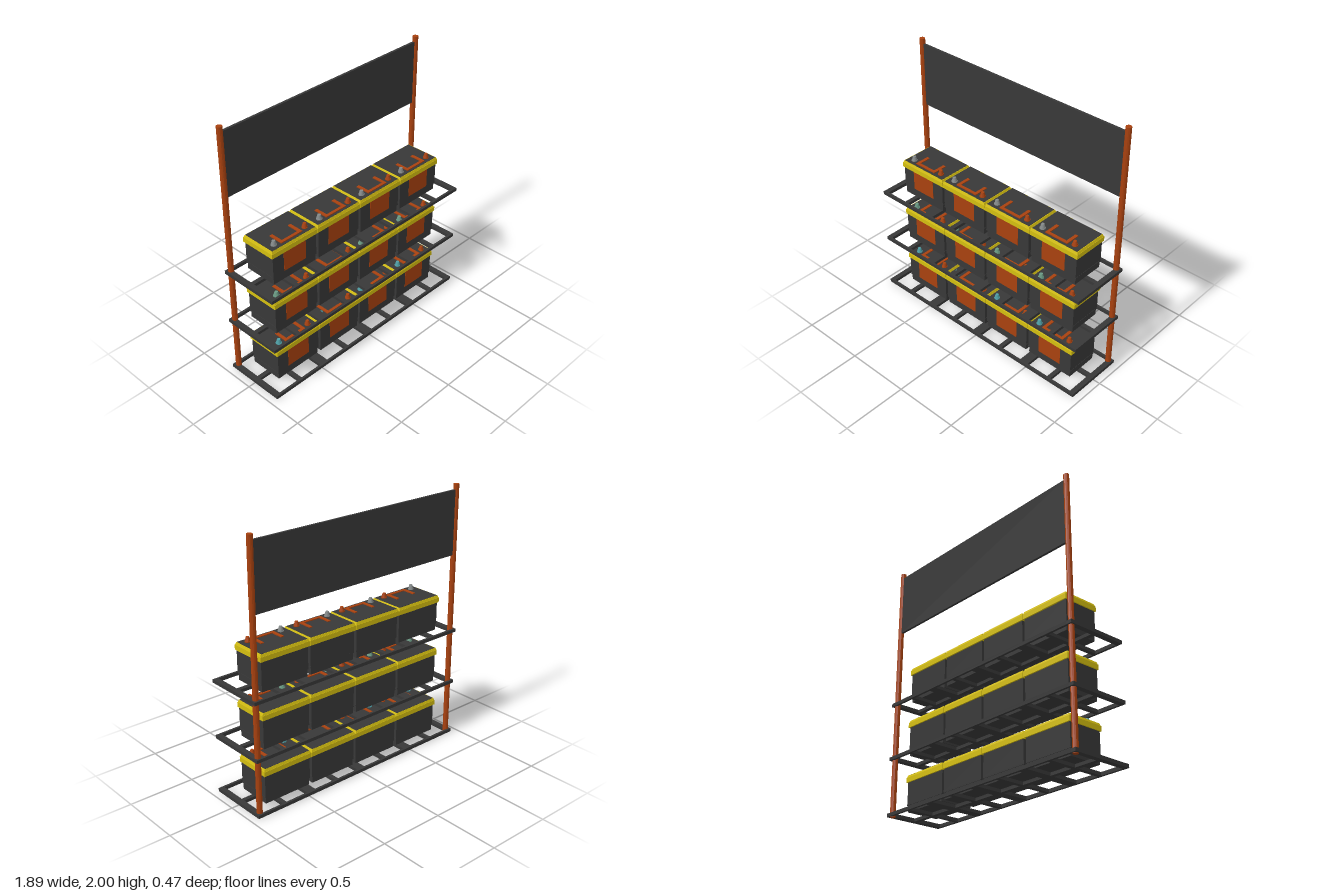
import * as THREE from 'three';

const mat = (color) => new THREE.MeshStandardMaterial({ color, flatShading: true });
const dark = mat(0x383838), yellow = mat(0xd4be10), orange = mat(0xa8410f);
const terminalTints = [mat(0x4f9fa6), mat(0x6a9a84), mat(0x858a8a)];

function add(parent, name, geometry, material, x, y, z) {
  const mesh = new THREE.Mesh(geometry, material);
  mesh.name = name;
  mesh.position.set(x, y, z);
  parent.add(mesh);
  return mesh;
}

// Box given by its min and max corners
function box(parent, name, material, [x0, y0, z0], [x1, y1, z1]) {
  return add(parent, name, new THREE.BoxGeometry(x1 - x0, y1 - y0, z1 - z0), material,
    (x0 + x1) / 2, (y0 + y1) / 2, (z0 + z1) / 2);
}

// Box whose top face is drawn in by a fixed margin
function chamferBox(w, h, d, inset) {
  const g = new THREE.BoxGeometry(w, h, d);
  const p = g.attributes.position;
  for (let i = 0; i < p.count; i++) {
    if (p.getY(i) > 0) {
      p.setX(i, p.getX(i) - Math.sign(p.getX(i)) * inset);
      p.setZ(i, p.getZ(i) - Math.sign(p.getZ(i)) * inset);
    }
  }
  g.computeVertexNormals();
  return g;
}

// Open shelf frame with alternating narrow and wide slats
function createShelf() {
  const shelf = new THREE.Group();
  shelf.name = 'shelf';
  const h = 0.025;
  for (const s of [-1, 1]) {
    add(shelf, 'sideRail', new THREE.BoxGeometry(0.04, h, 0.474), dark, s * 0.925, h / 2, 0);
    add(shelf, 'longRail', new THREE.BoxGeometry(1.81, h, 0.018), dark, 0, h / 2, s * 0.228);
  }
  add(shelf, 'centreRail', new THREE.BoxGeometry(1.81, h - 0.002, 0.032), dark, 0, h / 2, 0);
  for (let i = -3; i <= 3; i++) {
    const w = i % 2 ? 0.032 : 0.072;
    add(shelf, 'slat', new THREE.BoxGeometry(w, h - 0.001, 0.44), dark, i * 0.2365, h / 2, 0);
  }
  return shelf;
}

// Battery standing on y = 0, label facing +z
function createBattery(terminalMaterial) {
  const b = new THREE.Group();
  b.name = 'battery';
  box(b, 'caseFoot', dark, [-0.192, 0, -0.146], [0.192, 0.056, 0.114]);
  box(b, 'holdDownLedge', dark, [-0.199, 0.05, -0.15], [0.199, 0.06, 0.119]);
  box(b, 'case', dark, [-0.197, 0.06, -0.15], [0.197, 0.225, 0.119]);
  box(b, 'label', orange, [-0.1, 0.068, 0.11], [0.1, 0.223, 0.1205]);

  // Lid: straight band, chamfered rim and dark top plate
  box(b, 'lidBand', yellow, [-0.206, 0.222, -0.16], [0.206, 0.258, 0.126]);
  add(b, 'lidRim', chamferBox(0.408, 0.018, 0.282, 0.006), yellow, 0, 0.267, -0.017);
  box(b, 'lidTop', dark, [-0.194, 0.27, -0.15], [0.194, 0.2775, 0.116]);

  // Folded carrying handle
  box(b, 'handleGrip', orange, [-0.095, 0.276, 0.074], [0.095, 0.284, 0.096]);
  for (const s of [-1, 1]) {
    add(b, 'handleArm', new THREE.BoxGeometry(0.024, 0.008, 0.096), orange, s * 0.083, 0.28, 0.028);
  }

  // Tapered posts on round collars
  for (const s of [-1, 1]) {
    const m = s > 0 ? orange : terminalMaterial;
    add(b, 'terminalCollar', new THREE.CylinderGeometry(0.022, 0.022, 0.007, 12), m, s * 0.139, 0.28, 0.07);
    add(b, 'terminal', new THREE.CylinderGeometry(0.012, 0.02, 0.032, 12), m, s * 0.139, 0.298, 0.07);
  }
  return b;
}

export function createModel() {
  const rack = new THREE.Group();
  rack.name = 'batteryRack';

  // Three loaded shelves
  for (let level = 0; level < 3; level++) {
    const y = 0.003 + level * 0.4265;
    const shelf = createShelf();
    shelf.position.y = y;
    rack.add(shelf);
    for (let i = 0; i < 4; i++) {
      const battery = createBattery(terminalTints[level]);
      battery.position.set((i - 1.5) * 0.4155, y + 0.025, 0);
      rack.add(battery);
    }
  }

  // Rear posts and header board
  for (const s of [-1, 1]) {
    add(rack, 'post', new THREE.CylinderGeometry(0.021, 0.021, 2, 12), orange, s * 0.915, 1, -0.206);
  }
  box(rack, 'headerBoard', dark, [-0.905, 1.47, -0.216], [0.905, 1.96, -0.198]);
  return rack;
}
